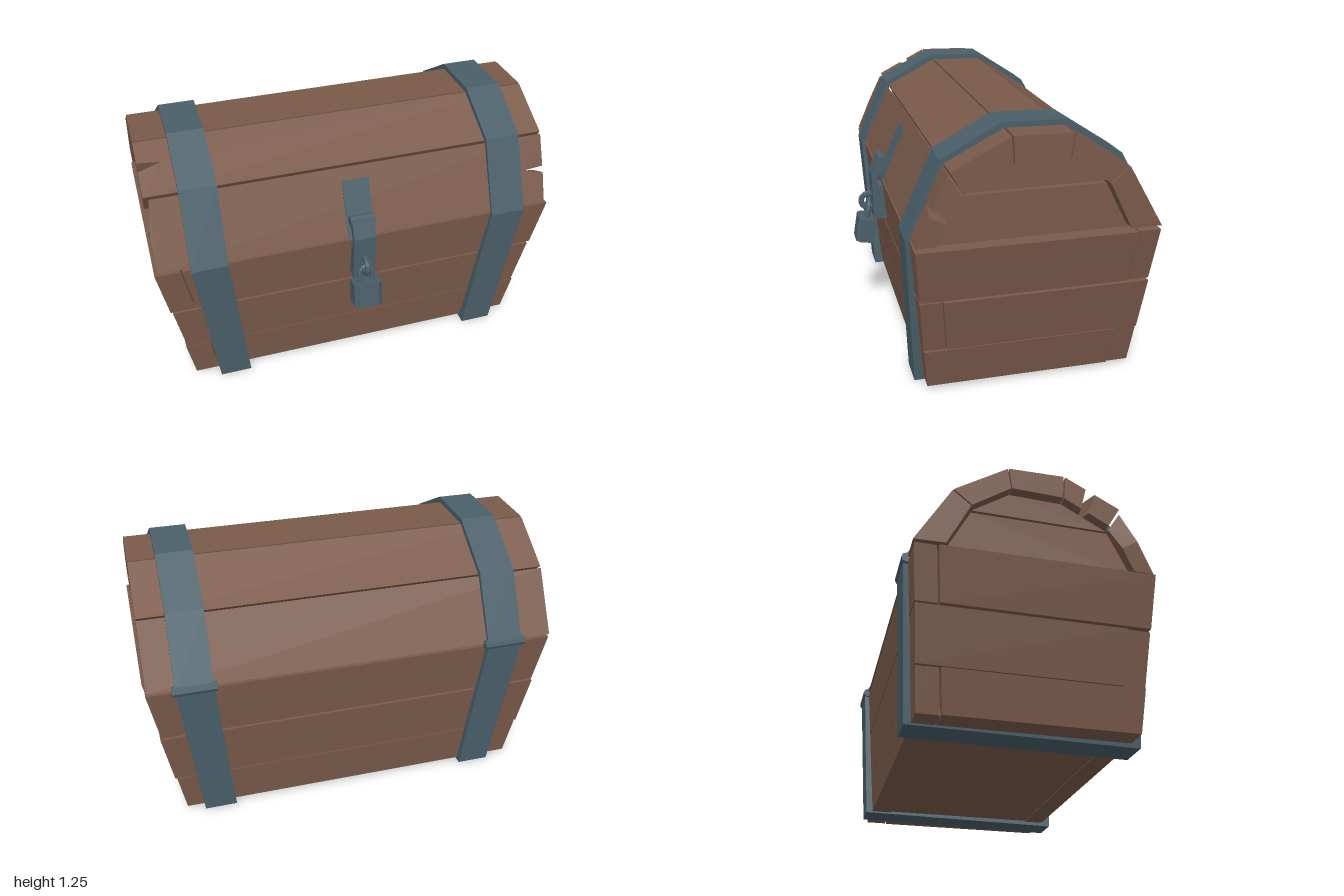
import * as THREE from 'three';

const wood = new THREE.MeshStandardMaterial({ color: 0x7a5a4a, flatShading: true });
const iron = new THREE.MeshStandardMaterial({ color: 0x4a5f6a, flatShading: true });
const SHIFT = 0.007; // the chest sits a touch off centre

// Extrudes an outline to unit depth, then moves each vertex by rule(u, v, w) -> [x, y, z].
function board(name, material, outline, rule) {
  const shape = new THREE.Shape(outline.map(([u, v]) => new THREE.Vector2(u, v)));
  const geo = new THREE.ExtrudeGeometry(shape, { depth: 1, bevelEnabled: false });
  const p = geo.attributes.position;
  for (let i = 0; i < p.count; i++) p.setXYZ(i, ...rule(p.getX(i), p.getY(i), p.getZ(i)));
  // keep the faces pointing outwards when the rule mirrors them
  const [a, b, c] = [0, 1, 2].map(() => new THREE.Vector3());
  let volume = 0;
  for (let i = 0; i < p.count; i += 3) {
    a.fromBufferAttribute(p, i); b.fromBufferAttribute(p, i + 1); c.fromBufferAttribute(p, i + 2);
    volume += a.dot(b.cross(c));
  }
  if (volume < 0) {
    for (let i = 0; i < p.count; i += 3) {
      b.fromBufferAttribute(p, i + 1); c.fromBufferAttribute(p, i + 2);
      p.setXYZ(i + 1, c.x, c.y, c.z); p.setXYZ(i + 2, b.x, b.y, b.z);
    }
  }
  geo.computeVertexNormals();
  const mesh = new THREE.Mesh(geo, material);
  mesh.name = name;
  return mesh;
}

const lerp = THREE.MathUtils.lerp;
const mix = (p, q, t) => [lerp(p[0], q[0], t), lerp(p[1], q[1], t)];

// Slab with a (z, y) profile, running from x0 to x1
const slab = (name, material, profile, x0, x1) =>
  board(name, material, profile, (u, v, w) => [lerp(x0, x1, w), v, u]);

// Flared body: outer faces as functions of height
const endX = y => 0.857 + (y - 0.02) * 0.19;
const frontZ = y => 0.43 + (y - 0.02) * 0.09;
const backZ = y => -0.55 - (y - 0.02) * 0.08;

function createBody() {
  const body = new THREE.Group();
  body.name = 'body';
  const T = 0.1;
  // rows of planks, interlocking at the corners; frontOver: the front plank runs to the end
  const rows = [
    { y0: 0.02, y1: 0.217, frontOver: false },
    { y0: 0.221, y1: 0.478, frontOver: true },
    { y0: 0.49, y1: 0.745, frontOver: false },
  ];
  for (const { y0, y1, frontOver } of rows) {
    const rect = [[-1, y0], [1, y0], [1, y1], [-1, y1]];
    const reach = (y, over) => endX(y) - (over ? 0.008 : 0.125);
    body.add(board('frontPlank', wood, rect, (u, v, w) =>
      [SHIFT + u * reach(v, frontOver), v, frontZ(v) - w * T]));
    body.add(board('backPlank', wood, rect, (u, v, w) =>
      [SHIFT + u * reach(v, !frontOver), v, backZ(v) + w * T]));
    for (const side of [-1, 1]) {
      body.add(board('endPlank', wood, rect, (u, v, w) => {
        const z = u > 0 ? frontZ(v) - (frontOver ? T + 0.004 : 0)
          : backZ(v) + (frontOver ? 0 : T + 0.008);
        return [SHIFT + side * (endX(v) - w * 0.12), v, z];
      }));
    }
  }
  body.add(slab('floor', wood, [[0.4, 0.025], [0.4, 0.06], [-0.52, 0.06], [-0.52, 0.025]], -0.82, 0.83));
  return body;
}

// Lid cross-section as (z, y), front to back
const lidOuter = [[0.495, 0.755], [0.348, 1.08], [0.08, 1.22], [-0.19, 1.215], [-0.445, 1.05], [-0.615, 0.757]];
const lidInner = [[0.4, 0.76], [0.29, 0.98], [0.072, 1.1], [-0.176, 1.107], [-0.36, 0.98], [-0.47, 0.76]];

function createLid() {
  const lid = new THREE.Group();
  lid.name = 'lid';
  // plank outlines as (x, share of width), some with splits in their ends
  const plain = [[-0.98, 0.012], [0.99, 0.012], [0.99, 0.985], [-0.98, 0.985]];
  const outlines = [
    [[-0.97, 0.01], [0.985, 0.01], [0.99, 0.43], [0.88, 0.5], [0.99, 0.52], [0.99, 0.98], [-0.955, 0.98], [-0.98, 0.5]],
    [[-0.98, 0.02], [0.99, 0.02], [0.99, 0.985], [-0.98, 0.985], [-0.98, 0.62], [-0.87, 0.58], [-0.98, 0.46]],
    plain, plain, plain,
  ];
  outlines.forEach((outline, i) => lid.add(board('lidPlank', wood, outline, (u, v, w) => {
    const [z, y] = mix(mix(lidOuter[i], lidOuter[i + 1], v), mix(lidInner[i], lidInner[i + 1], v), w);
    return [u, y, z];
  })));
  // end panels set in under the planks
  for (const side of [-1, 1]) {
    const x0 = SHIFT + side * 0.84, x1 = SHIFT + side * 0.945;
    lid.add(slab('lowerEndPanel', wood, [[0.395, 0.752], [0.29, 0.966], [-0.355, 0.97], [-0.465, 0.758]], x0, x1));
    lid.add(slab('upperEndPanel', wood, [[0.288, 0.976], [0.072, 1.093], [-0.176, 1.1], [-0.352, 0.982]], x0, x1));
  }
  return lid;
}

// Iron band: quads between an inner and an outer (z, y) path, centred and sized by height
function createStrap(side) {
  const strap = new THREE.Group();
  strap.name = side > 0 ? 'leftStrap' : 'rightStrap';
  const outer = [[0.474, 0], [0.514, 0.745], [0.36, 1.1], [0.093, 1.245], [-0.197, 1.24], [-0.459, 1.07], [-0.632, 0.757], [-0.583, 0.012]];
  const inner = [[0.425, 0.03], [0.49, 0.748], [0.34, 1.075], [0.08, 1.212], [-0.19, 1.208], [-0.44, 1.045], [-0.605, 0.757], [-0.545, 0.035]];
  const place = y => {
    const t = Math.min(y / 0.745, 1);
    return [0.02 + side * lerp(0.6725, 0.755, t), lerp(0.0775, 0.0875, t)];
  };
  outer.forEach((o, i) => {
    const j = (i + 1) % outer.length;
    strap.add(board('strapSegment', iron, [[-1, 0], [1, 0], [1, 1], [-1, 1]], (u, v, w) => {
      const [z, y] = mix(mix(o, outer[j], v), mix(inner[i], inner[j], v), w);
      const [x, half] = place(y);
      return [x + u * half, y, z];
    }));
  });
  // hinge knuckle at the back
  const hinge = new THREE.Mesh(new THREE.CylinderGeometry(0.024, 0.024, 0.205, 8), iron);
  hinge.name = 'hinge';
  hinge.rotation.z = Math.PI / 2;
  hinge.position.set(0.02 + side * 0.755, 0.757, -0.617);
  strap.add(hinge);
  return strap;
}

function createLock() {
  const lock = new THREE.Group();
  lock.name = 'lock';
  lock.position.x = SHIFT;
  // plate on the lid, hinge barrel and folding hasp
  lock.add(slab('lidPlate', iron, [[0.5, 0.755], [0.382, 1.015], [0.365, 1.01], [0.48, 0.755]], -0.067, 0.067));
  const barrel = new THREE.Mesh(new THREE.CylinderGeometry(0.026, 0.026, 0.12, 8), iron);
  barrel.name = 'haspHinge';
  barrel.rotation.z = Math.PI / 2;
  barrel.position.set(0, 0.853, 0.49);
  lock.add(barrel);
  lock.add(slab('hasp', iron, [[0.51, 0.87], [0.55, 0.78], [0.545, 0.54], [0.517, 0.54], [0.52, 0.77], [0.475, 0.85]], -0.055, 0.055));
  lock.add(slab('staplePlate', iron, [[0.518, 0.72], [0.518, 0.54], [0.475, 0.54], [0.48, 0.72]], -0.05, 0.05));

  // staple ring through the hasp
  const staple = new THREE.Mesh(new THREE.TorusGeometry(0.04, 0.015, 6, 12), iron);
  staple.name = 'staple';
  staple.rotation.y = Math.PI / 2;
  staple.position.set(0, 0.628, 0.563);
  lock.add(staple);

  // padlock hanging at a tilt
  const padlock = new THREE.Group();
  padlock.name = 'padlock';
  padlock.position.set(0, 0.482, 0.589);
  padlock.rotation.x = -0.17;
  const block = new THREE.Shape([[-0.07, -0.045], [0.07, -0.045], [0.07, 0.025], [0.05, 0.045], [-0.05, 0.045], [-0.07, 0.025]]
    .map(([x, y]) => new THREE.Vector2(x, y)));
  const caseGeo = new THREE.ExtrudeGeometry(block, { depth: 0.125, bevelEnabled: false });
  caseGeo.translate(0, 0, -0.0625).rotateX(Math.PI / 2).scale(1, 1, 1);
  const body = new THREE.Mesh(caseGeo, iron);
  body.name = 'padlockCase';
  const curve = new THREE.CatmullRomCurve3([[-0.03, 0.05], [-0.03, 0.12], [0, 0.15], [0.03, 0.12], [0.03, 0.05]]
    .map(([x, y]) => new THREE.Vector3(x, y, 0)));
  const shackle = new THREE.Mesh(new THREE.TubeGeometry(curve, 12, 0.012, 6), iron);
  shackle.name = 'shackle';
  padlock.add(body, shackle);
  lock.add(padlock);
  return lock;
}

export function createModel() {
  const chest = new THREE.Group();
  chest.name = 'chest';
  chest.add(createBody(), createLid(), createStrap(-1), createStrap(1), createLock());
  return chest;
}
